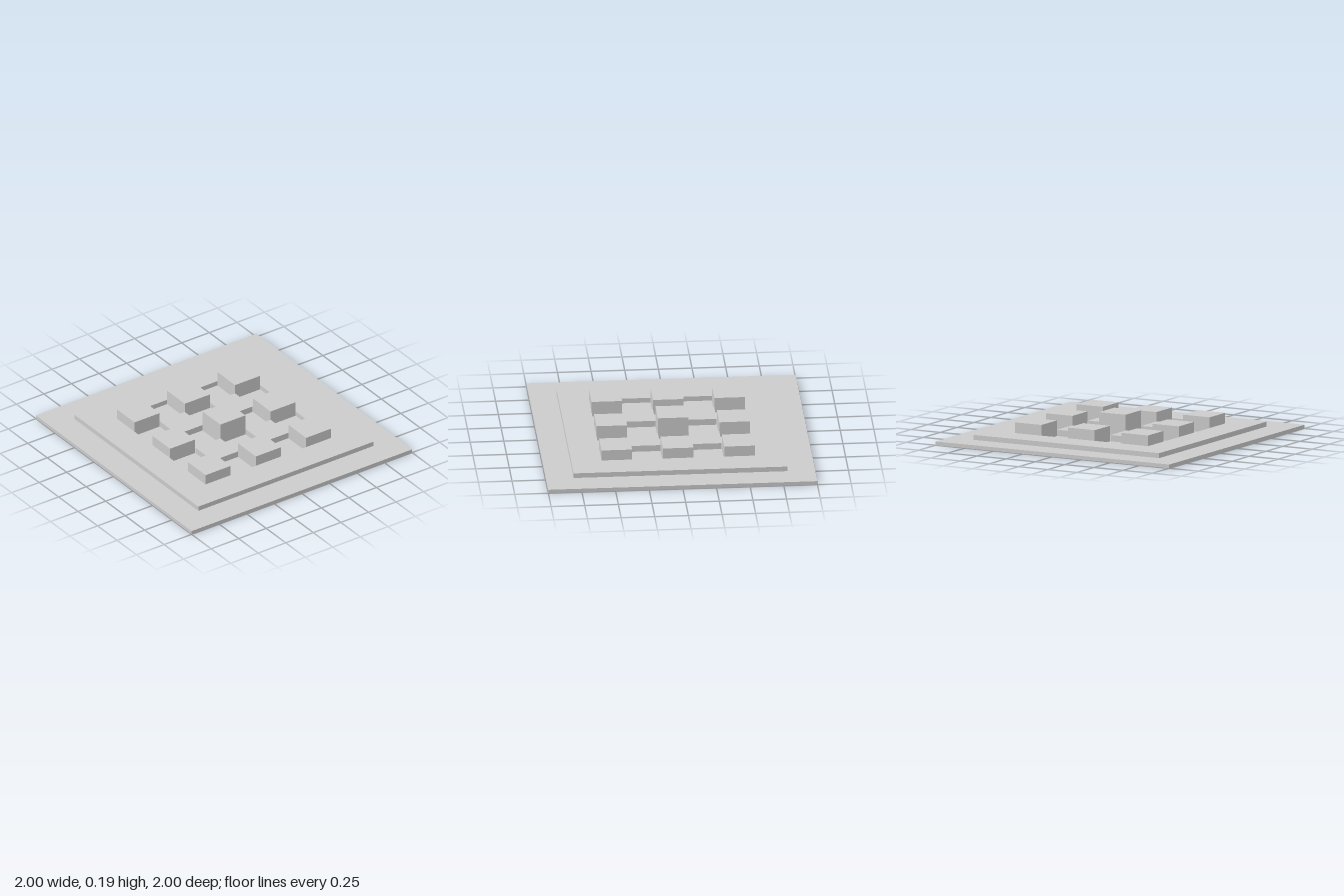
import * as THREE from 'three';

const material = new THREE.MeshStandardMaterial({ color: 0xcccccc, flatShading: true });
const BASE_TOP = 0.028, FRAME_TOP = 0.065;
const CELL = 0.228, COURT = 0.57;

// Box standing between two heights
function slab(name, size, bottom, top, x = 0, z = 0) {
  const mesh = new THREE.Mesh(new THREE.BoxGeometry(size, top - bottom, size), material);
  mesh.position.set(x, (bottom + top) / 2, z);
  mesh.name = name;
  return mesh;
}

function square(path, h) {
  path.moveTo(-h, -h);
  path.lineTo(h, -h);
  path.lineTo(h, h);
  path.lineTo(-h, h);
  path.closePath();
  return path;
}

export function createModel() {
  const model = new THREE.Group();
  model.name = 'steppedBlockPlatform';
  model.add(slab('basePlate', 2, 0, BASE_TOP));

  // Raised terrace around the sunken court
  const outline = square(new THREE.Shape(), 0.795);
  outline.holes.push(square(new THREE.Path(), COURT));
  const terraceGeometry = new THREE.ExtrudeGeometry(outline, {
    depth: FRAME_TOP - BASE_TOP, bevelEnabled: false,
  });
  terraceGeometry.rotateX(-Math.PI / 2);
  const terrace = new THREE.Mesh(terraceGeometry, material);
  terrace.position.y = BASE_TOP;
  terrace.name = 'terrace';
  model.add(terrace);

  // Checkerboard: tall blocks on even cells, low tiles on the diagonals, pits between
  for (let i = -2; i <= 2; i++) {
    for (let j = -2; j <= 2; j++) {
      if ((i + j) % 2 !== 0) continue;
      const centre = i === 0 && j === 0;
      const low = i % 2 !== 0;
      const name = centre ? 'centreBlock' : low ? 'lowTile' : 'block';
      const top = centre ? 0.193 : low ? 0.075 : 0.145;
      model.add(slab(name, CELL - 0.001, BASE_TOP, top, i * CELL, j * CELL));
    }
  }
  return model;
}
